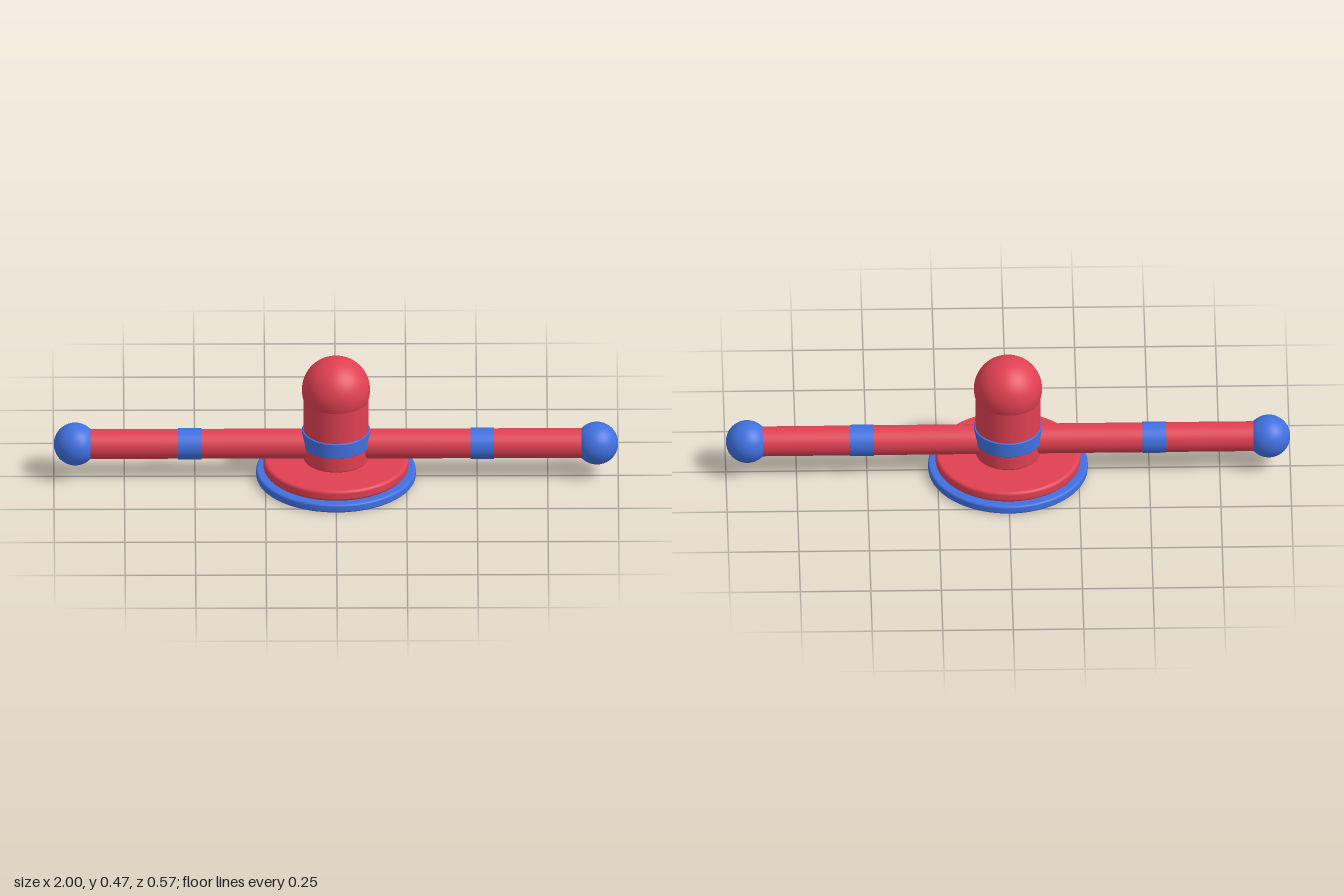
import * as THREE from 'three';

export function createModel() {
  const model = new THREE.Group();
  model.name = 'model';
  const red = new THREE.MeshStandardMaterial({ color: 0xe04052 });
  red.name = 'red';
  const blue = new THREE.MeshStandardMaterial({ color: 0x4070e0 });
  blue.name = 'blue';

  function add(name, geometry, material, x = 0, y = 0) {
    const mesh = new THREE.Mesh(geometry, material);
    mesh.name = name;
    mesh.position.set(x, y, 0);
    model.add(mesh);
    return mesh;
  }

  // Solid disc from y0 to y1 with rounded rims; extra points keep the flats flat
  function roundedDisc(radius, y0, y1, fillet) {
    const points = [new THREE.Vector2(0, y0), new THREE.Vector2(radius - fillet - 0.002, y0)];
    for (const [cy, start] of [[y0 + fillet, -Math.PI / 2], [y1 - fillet, 0]]) {
      for (let i = 0; i <= 6; i++) {
        const a = start + (i / 6) * Math.PI / 2;
        points.push(new THREE.Vector2(radius - fillet + fillet * Math.cos(a), cy + fillet * Math.sin(a)));
      }
    }
    points.push(new THREE.Vector2(radius - fillet - 0.002, y1), new THREE.Vector2(0, y1));
    return new THREE.LatheGeometry(points, 72);
  }

  // Stepped base
  add('basePlate', roundedDisc(0.283, 0, 0.032, 0.008), blue);
  add('baseStep', roundedDisc(0.257, 0.032, 0.073, 0.012), red);

  // Central column with collar and dome
  add('column', roundedDisc(0.115, 0.071, 0.346, 0.007), red);
  add('collar', roundedDisc(0.121, 0.132, 0.189, 0.003), blue);
  add('dome', new THREE.SphereGeometry(0.121, 56, 36), red, 0, 0.346);

  // Mirrored arms with a band and a ball at the end
  const armY = 0.13;
  for (const [side, s] of [['left', 1], ['right', -1]]) {
    const arm = add(side + 'Arm', new THREE.CylinderGeometry(0.053, 0.053, 0.9, 48), red, s * 0.45, armY);
    const band = add(side + 'ArmBand', new THREE.CylinderGeometry(0.0555, 0.0555, 0.084, 48), blue, s * 0.518, armY);
    arm.rotation.z = band.rotation.z = Math.PI / 2;
    add(side + 'Ball', new THREE.SphereGeometry(0.076, 48, 32), blue, s * 0.924, armY);
  }
  return model;
}
